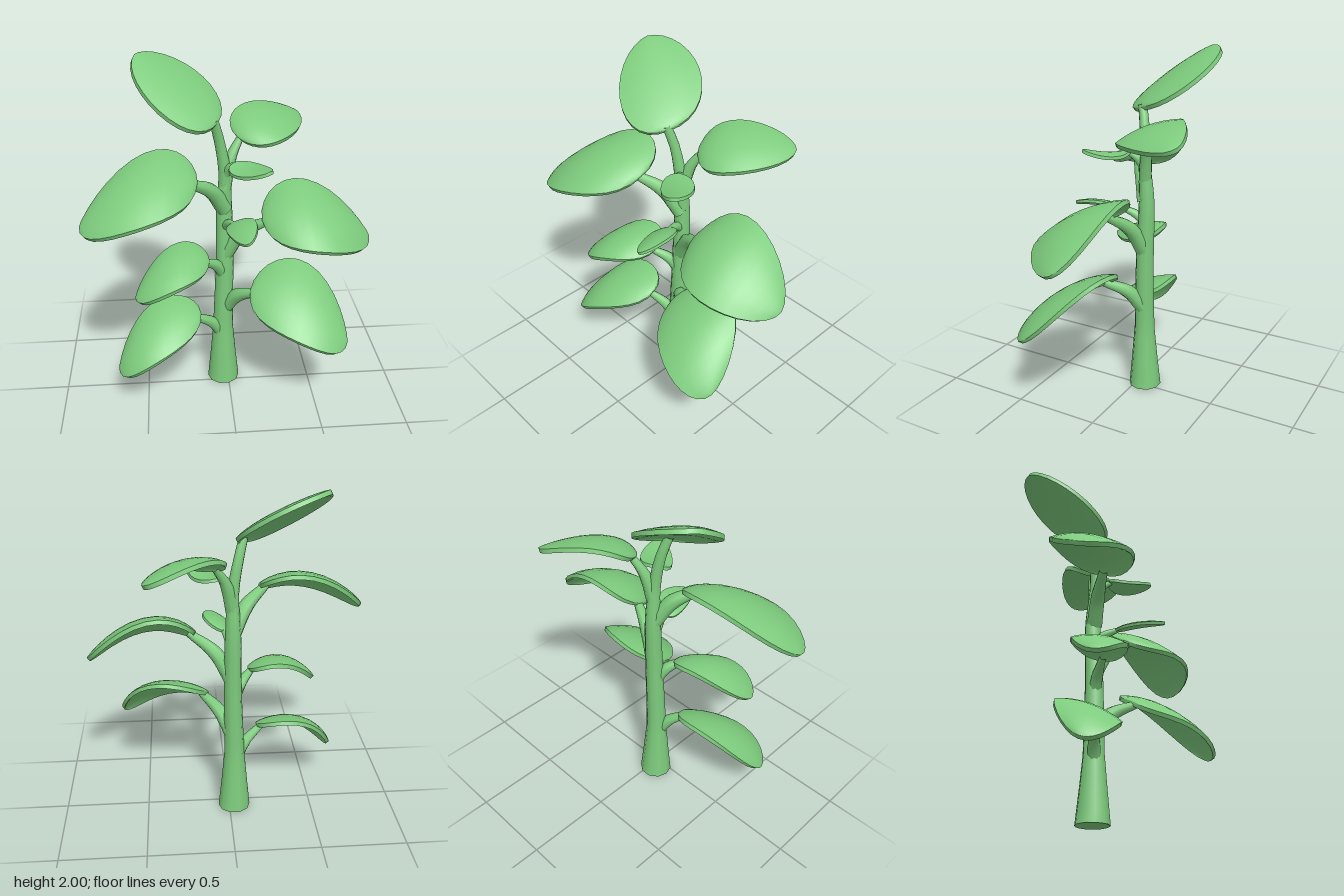
import * as THREE from 'three';
import { toCreasedNormals } from 'three/addons/utils/BufferGeometryUtils.js';

const green = new THREE.MeshStandardMaterial({ color: 0x7dcb7d });
green.name = 'leaf green';

const vec = (x, y, z) => new THREE.Vector3(x, y, z);

function addMesh(parent, geometry, name) {
  const mesh = new THREE.Mesh(geometry, green);
  mesh.name = name;
  parent.add(mesh);
  return mesh;
}

// Tube along a curve whose radius follows a list of evenly spaced values
function taperedTube(points, radii, steps, sides) {
  const curve = new THREE.CatmullRomCurve3(points);
  const geo = new THREE.TubeGeometry(curve, steps, 1, sides);
  const pos = geo.attributes.position;
  const p = vec(0, 0, 0);
  for (let i = 0; i <= steps; i++) {
    const c = curve.getPointAt(i / steps);
    const f = (i / steps) * (radii.length - 1);
    const k = Math.min(Math.floor(f), radii.length - 2);
    const r = THREE.MathUtils.lerp(radii[k], radii[k + 1], f - k);
    for (let j = 0; j <= sides; j++) {
      const n = i * (sides + 1) + j;
      p.fromBufferAttribute(pos, n).sub(c).multiplyScalar(r).add(c);
      pos.setXYZ(n, p.x, p.y, p.z);
    }
  }
  return toCreasedNormals(geo, 0.9);
}

// Thick domed blade: a closed ring of points swept along a curved midrib
function bladeGeometry(base, mid, tip, side) {
  const control = mid.clone().multiplyScalar(2).addScaledVector(base, -0.5).addScaledVector(tip, -0.5);
  const rib = new THREE.QuadraticBezierCurve3(base, control, tip);
  const W = side.clone();
  if (tip.clone().sub(base).cross(W).y < 0) W.negate();
  const half = W.length();
  const thick = Math.min(0.024, half * 0.2);
  const rows = 14, cols = 8, ring = 2 * (cols + 1);
  const pos = [], index = [];
  for (let i = 0; i <= rows; i++) {
    const u = (1 - Math.cos((Math.PI * i) / rows)) / 2;
    // Full and round at the base, slightly narrower at the tip
    const w = 1.99 * Math.pow(u, 0.45) * Math.pow(1 - u, 0.55);
    const c = rib.getPoint(u);
    const N = rib.getTangent(u).cross(W).normalize();
    for (let k = 0; k < ring; k++) {
      const top = k <= cols;
      const v = ((top ? k : ring - 1 - k) / cols) * 2 - 1;
      const lift = half * w * (0.08 - 0.16 * v * v) + (top ? 0.5 : -0.5) * thick;
      const p = c.clone().addScaledVector(W, v * w).addScaledVector(N, lift);
      pos.push(p.x, p.y, p.z);
    }
  }
  for (let i = 0; i < rows; i++) {
    for (let k = 0; k < ring; k++) {
      const a = i * ring + k, c = i * ring + ((k + 1) % ring);
      index.push(a, a + ring, c, a + ring, c + ring, c);
    }
  }
  const geo = new THREE.BufferGeometry();
  geo.setAttribute('position', new THREE.Float32BufferAttribute(pos, 3));
  geo.setIndex(index);
  return toCreasedNormals(geo, 0.9);
}

// Leaf with a midrib through base, mid and tip, and side as its half width
function addLeaf(plant, name, base, mid, tip, side) {
  const group = new THREE.Group();
  group.name = name;
  addMesh(group, bladeGeometry(base, mid, tip, side), name + 'Blade');
  plant.add(group);
  return group;
}

// Leaf on a stalk that leaves the stem at rootY, rises and bends outward
function addStalkedLeaf(plant, name, rootY, base, mid, tip, side) {
  const group = addLeaf(plant, name, base, mid, tip, side);
  const root = vec(-0.02, rootY, -0.05);
  const end = base.clone().lerp(mid, 0.12);
  const bend = root.clone().lerp(end, 0.4);
  bend.y = THREE.MathUtils.lerp(rootY, end.y, 0.62);
  const r = 0.018 + 0.11 * side.length();
  addMesh(group, taperedTube([root, bend, end], [r, r * 0.9, r * 0.5], 10, 8), name + 'Stalk');
}

export function createModel() {
  const plant = new THREE.Group();
  plant.name = 'plant';

  // Main stem, flared at the foot and bending aside under the top leaf
  const stemPath = [vec(-0.03, 0, -0.05), vec(-0.03, 0.4, -0.045), vec(-0.02, 0.8, -0.05),
    vec(-0.02, 1.2, -0.06), vec(-0.02, 1.4, -0.045), vec(-0.05, 1.58, -0.03), vec(-0.08, 1.7, 0)];
  const stemRadii = [0.096, 0.077, 0.06, 0.056, 0.053, 0.05, 0.046, 0.036, 0.03, 0.025];
  addMesh(plant, taperedTube(stemPath, stemRadii, 27, 10), 'stem');

  // Flat underside of the stem
  const foot = addMesh(plant, new THREE.CircleGeometry(0.094, 20), 'stemFoot');
  foot.rotation.x = Math.PI / 2;
  foot.position.set(-0.03, 0.001, -0.05);

  // Leaves from the top down
  addLeaf(plant, 'topLeaf',
    vec(-0.06, 1.68, 0), vec(-0.26, 1.84, -0.12), vec(-0.49, 1.99, -0.24), vec(0.1, 0.055, -0.2));
  addStalkedLeaf(plant, 'upperRightLeaf', 1.28,
    vec(0.06, 1.56, -0.11), vec(0.23, 1.63, -0.21), vec(0.44, 1.59, -0.44), vec(-0.1, 0.06, -0.14));
  addStalkedLeaf(plant, 'upperLeftLeaf', 1.16,
    vec(-0.18, 1.38, 0.1), vec(-0.48, 1.395, 0.17), vec(-0.8, 1.2, 0.22), vec(0.02, 0.11, -0.25));
  addStalkedLeaf(plant, 'middleRightLeaf', 0.86,
    vec(0.19, 1.12, 0.05), vec(0.48, 1.175, 0.09), vec(0.8, 0.99, 0.03), vec(-0.02, 0.12, -0.23));
  addStalkedLeaf(plant, 'middleLeftLeaf', 0.72,
    vec(-0.12, 0.88, 0.06), vec(-0.33, 0.895, 0.14), vec(-0.53, 0.74, 0.2), vec(0, 0.055, -0.17));
  addStalkedLeaf(plant, 'lowerRightLeaf', 0.5,
    vec(0.12, 0.7, 0.11), vec(0.41, 0.695, 0.23), vec(0.64, 0.48, 0.35), vec(0.06, 0.13, -0.21));
  addStalkedLeaf(plant, 'lowerLeftLeaf', 0.28,
    vec(-0.17, 0.51, 0.04), vec(-0.45, 0.47, 0.14), vec(-0.65, 0.26, 0.2), vec(-0.01, 0.09, -0.18));

  // Two young sprouts at the front
  addStalkedLeaf(plant, 'upperSprout', 1.35,
    vec(0.03, 1.46, 0.02), vec(0.11, 1.445, 0.1), vec(0.2, 1.475, 0.22), vec(0.075, 0.01, -0.05));
  addStalkedLeaf(plant, 'lowerSprout', 1.04,
    vec(0.02, 1.12, 0.07), vec(0.06, 1.15, 0.19), vec(0.08, 1.13, 0.35), vec(0.075, 0.03, -0.02));

  return plant;
}
